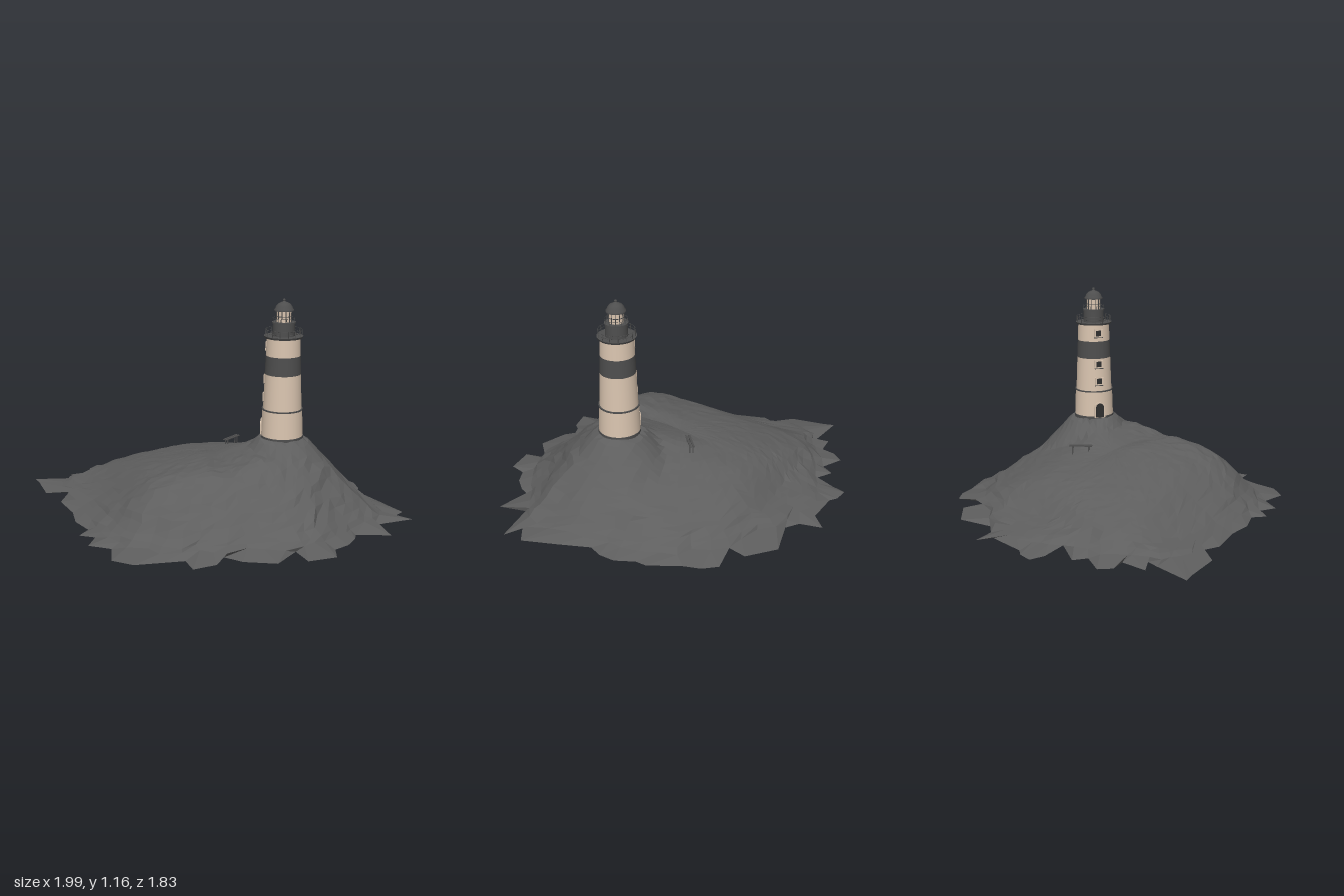
import * as THREE from 'three';

const mat = (name, color, extra = {}) => {
  const m = new THREE.MeshStandardMaterial({ color, ...extra });
  m.name = name;
  return m;
};

// Shoreline as x, z pairs in hundredths, running clockwise from the back left corner
const SHORE = [
  -100, -54, -80, -52, -73, -51, -79, -59, -65, -60, -67, -68, -62, -74, -50, -68, -46, -75, -25, -63, -33, -81, -31, -89,
  -23, -88, -19, -85, 3, -84, 7, -92, 10, -80, 17, -75, 36, -80, 50, -68, 47, -53, 64, -61, 70, -54, 73, -45, 82, -29,
  82, -23, 87, -13, 87, -4, 84, 3, 91, 20, 98, 38, 88, 45, 99, 49, 76, 53, 80, 68, 62, 64, 60, 69, 54, 76, 46, 80, 44, 89,
  29, 91, 26, 79, 14, 91, -2, 86, -10, 79, -15, 87, -27, 90, -29, 80, -41, 80, -54, 80, -64, 73, -63, 59, -74, 53,
  -70, 43, -78, 39, -73, 32, -79, 20, -80, 6, -86, -12, -81, -27, -94, -28, -98, -48,
];

// Piecewise linear curve through [position, value] pairs
function curve(points, v) {
  if (v <= points[0][0]) return points[0][1];
  for (let i = 1; i < points.length; i++) {
    const [a, p] = points[i - 1], [b, q] = points[i];
    if (v <= b) return p + (q - p) * (v - a) / (b - a);
  }
  return points[points.length - 1][1];
}

// Height limits across, front to back, towards both back corners, and out to the shore
const ACROSS = [[-1, 0], [-0.7, 0.055], [-0.6, 0.11], [-0.5, 0.19], [-0.4, 0.26], [-0.25, 0.31], [-0.1, 0.335], [0, 0.315],
  [0.1, 0.36], [0.2, 0.43], [0.45, 0.42], [0.5, 0.38], [0.6, 0.29], [0.7, 0.18], [0.78, 0.08], [0.98, 0]];
const DEPTH = [[-0.92, 0], [-0.8, 0.025], [-0.6, 0.075], [-0.5, 0.17], [-0.4, 0.24], [-0.2, 0.3], [-0.1, 0.325], [0, 0.36],
  [0.1, 0.43], [0.3, 0.43], [0.4, 0.39], [0.5, 0.27], [0.6, 0.175], [0.7, 0.088], [0.8, 0.03], [0.92, 0]];
const BACK_LEFT = [[-0.1, 0.5], [0.05, 0.36], [0.2, 0.3], [0.57, 0.165], [0.8, 0.085], [1.1, 0.01]];
const BACK_RIGHT = [[0.1, 0.5], [0.2, 0.33], [0.3, 0.275], [0.42, 0.215], [0.64, 0.105], [0.87, 0.02]];
const RADIAL = [[0, 0.5], [0.5, 0.44], [0.65, 0.33], [0.78, 0.18], [0.88, 0.075], [0.95, 0.03], [1, 0.01]];
const TX = 0.34, TZ = 0.18;

function landHeight(x, z, t) {
  const limits = [curve(ACROSS, x), curve(DEPTH, z), curve(RADIAL, t),
    curve(BACK_LEFT, -(x + z) * Math.SQRT1_2), curve(BACK_RIGHT, (x - z) * Math.SQRT1_2)];
  const h = limits.reduce((s, v) => s + Math.max(v, 0.003) ** -7, 0) ** (-1 / 7);
  const d = Math.hypot(x - TX, z - TZ);
  return Math.max(Math.min(h, 0.412), 0.412 - Math.max(0, d - 0.13) * 1.1);
}

// Rocky island: rings from the middle to the ragged shore
function islandGeometry() {
  let seed = 7;
  const rand = () => (seed = (seed * 16807) % 2147483647) / 2147483647 - 0.5;
  const n = SHORE.length / 2, rings = 22;
  const pos = [], index = [];
  const shore = (i) => [SHORE[((i + n) % n) * 2] / 100, SHORE[((i + n) % n) * 2 + 1] / 100];
  for (let k = 0; k <= rings; k++) {
    const t = (k / rings) ** 0.85;
    for (let i = 0; i < n; i++) {
      if (k === rings) {
        const [x, z] = shore(i);
        pos.push(x, 0, z);
        continue;
      }
      let x = 0, z = 0;
      for (let j = -2; j <= 2; j++) {
        x += shore(i + j)[0] / 5;
        z += shore(i + j)[1] / 5;
      }
      const jitter = 0.03 * t;
      x = x * t * 0.96 + rand() * jitter;
      z = z * t * 0.96 + rand() * jitter;
      const pad = Math.hypot(x - TX, z - TZ) < 0.16;
      const rough = pad ? 0 : 0.024 * t * (1 - t * 0.7) * (z > 0.25 ? 1.5 : 0.6);
      pos.push(x, Math.max(0, landHeight(x, z, t) + rand() * rough), z);
    }
  }
  for (let k = 0; k < rings; k++) for (let i = 0; i < n; i++) {
    const a = k * n + i, b = k * n + (i + 1) % n;
    if (k > 0) index.push(a, b, b + n);
    index.push(a, b + n, a + n);
  }
  const g = new THREE.BufferGeometry();
  g.setAttribute('position', new THREE.Float32BufferAttribute(pos, 3));
  g.setIndex(index);
  g.computeVertexNormals();
  return g;
}

export function createModel() {
  const rock = mat('rock grey', 0x5e5e5e, { flatShading: true, side: THREE.DoubleSide });
  const cream = mat('cream wall', 0xdac5b0);
  const dark = mat('dark grey paint', 0x4e4e4e);
  const black = mat('dark opening', 0x303030);

  const root = new THREE.Group();
  const add = (parent, name, geo, material, x = 0, y = 0, z = 0) => {
    const m = new THREE.Mesh(geo, material);
    m.name = name;
    m.position.set(x, y, z);
    parent.add(m);
    return m;
  };
  add(root, 'island', islandGeometry(), rock);

  const tower = new THREE.Group();
  tower.name = 'lighthouse';
  tower.position.set(TX, 0, TZ);
  root.add(tower);
  const drum = (name, y0, y1, r0, r1, material, sides = 28) =>
    add(tower, name, new THREE.CylinderGeometry(r1, r0, y1 - y0, sides), material, 0, (y0 + y1) / 2, 0);

  // Tapered walls with a painted band
  drum('footing', 0.4, 0.422, 0.116, 0.116, dark);
  drum('lowerWall', 0.42, 0.565, 0.113, 0.108, cream);
  drum('stringCourse', 0.565, 0.572, 0.111, 0.111, dark);
  drum('middleWall', 0.57, 0.762, 0.104, 0.097, cream);
  drum('paintedBand', 0.762, 0.862, 0.0975, 0.0935, dark);
  drum('upperWall', 0.862, 0.957, 0.093, 0.09, cream);

  // Galleries, lantern room and dome
  drum('galleryFloor', 0.957, 0.968, 0.1, 0.105, dark);
  drum('watchRoom', 0.968, 1.036, 0.06, 0.058, dark);
  drum('lanternFloor', 1.034, 1.042, 0.063, 0.063, dark);
  drum('lantern', 1.042, 1.105, 0.039, 0.039, cream, 16);
  const dome = [[0.052, 1.1], [0.053, 1.108], [0.047, 1.112], [0.043, 1.125], [0.032, 1.138], [0.016, 1.146],
    [0.008, 1.149], [0.006, 1.154], [0, 1.154]];
  add(tower, 'dome', new THREE.LatheGeometry(dome.map(([x, y]) => new THREE.Vector2(x, y)), 24), dark);
  drum('domeUnderside', 1.1, 1.104, 0.052, 0.052, dark);
  add(tower, 'finialBall', new THREE.SphereGeometry(0.008, 10, 8), dark, 0, 1.157, 0);

  const ring = (name, r, y, tube) => {
    add(tower, name, new THREE.TorusGeometry(r, tube, 5, 28), dark, 0, y, 0).rotation.x = Math.PI / 2;
  };
  const posts = (name, count, r, y0, y1, size) => {
    for (let i = 0; i < count; i++) {
      const a = (i / count) * Math.PI * 2;
      add(tower, name, new THREE.CylinderGeometry(size, size, y1 - y0, 5), dark,
        Math.sin(a) * r, (y0 + y1) / 2, Math.cos(a) * r);
    }
  };
  posts('galleryPost', 14, 0.098, 0.966, 1.003, 0.002);
  ring('galleryRail', 0.098, 1.002, 0.001);
  ring('galleryMidRail', 0.098, 0.985, 0.001);
  posts('lanternBar', 12, 0.041, 1.04, 1.102, 0.002);
  ring('lanternHoop', 0.041, 1.072, 0.002);
  posts('lanternPost', 12, 0.059, 1.04, 1.062, 0.0012);
  ring('lanternRail', 0.059, 1.062, 0.001);

  // Door and windows in one column
  const front = new THREE.Group();
  front.name = 'doorAndWindows';
  front.rotation.y = Math.atan2(-0.9, -0.45);
  tower.add(front);
  for (const [y, r] of [[0.91, 0.091], [0.73, 0.098], [0.63, 0.102]]) {
    add(front, 'windowFrame', new THREE.BoxGeometry(0.05, 0.046, 0.02), cream, 0, y, r - 0.008);
    add(front, 'windowPane', new THREE.BoxGeometry(0.03, 0.032, 0.004), black, 0, y, r + 0.001);
    add(front, 'windowSill', new THREE.BoxGeometry(0.052, 0.004, 0.02), dark, 0, y - 0.025, r - 0.006);
  }
  const arch = (w, h, depth) => {
    const s = new THREE.Shape();
    s.moveTo(-w, 0);
    s.lineTo(w, 0);
    s.lineTo(w, h);
    s.absarc(0, h, w, 0, Math.PI, false);
    s.closePath();
    return new THREE.ExtrudeGeometry(s, { depth, bevelEnabled: false, curveSegments: 8 });
  };
  add(front, 'doorFrame', arch(0.032, 0.06, 0.03), cream, 0, 0.415, 0.085);
  add(front, 'door', arch(0.024, 0.058, 0.004), black, 0, 0.418, 0.113);

  // Bench on the slope behind the tower
  const bench = new THREE.Group();
  bench.name = 'bench';
  bench.position.set(0.125, 0, -0.135);
  bench.rotation.y = Math.atan2(0.09, 0.1);
  root.add(bench);
  for (const z of [-0.008, 0.008]) {
    add(bench, 'benchSlat', new THREE.BoxGeometry(0.128, 0.004, 0.012), dark, 0, 0.322, z);
    for (const x of [-0.045, 0.045]) {
      add(bench, 'benchLeg', new THREE.BoxGeometry(0.005, 0.055, 0.005), dark, x, 0.295, z);
    }
  }
  return root;
}
